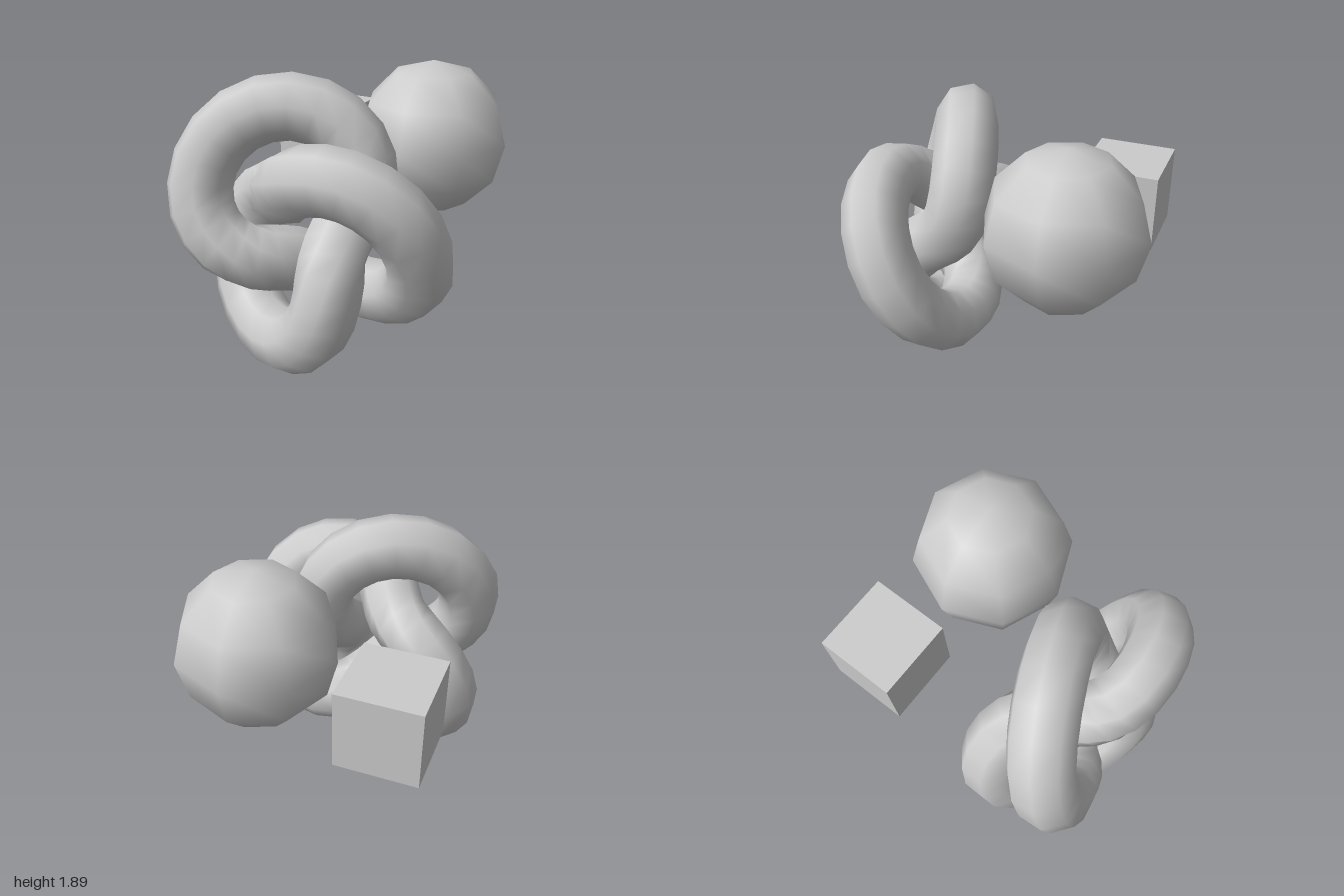
import * as THREE from 'three';

// Three primitives sharing one unit: cube side, sphere radius and knot radius.
const UNIT = 0.525;

export function createModel() {
  const group = new THREE.Group();
  const material = new THREE.MeshStandardMaterial({ color: 0xcccccc });

  const add = (name, geometry, x, y, z) => {
    const mesh = new THREE.Mesh(geometry, material);
    mesh.name = name;
    mesh.position.set(x, y, z);
    group.add(mesh);
  };

  // Trefoil knot with an eight-sided tube, in front
  add('knot', new THREE.TorusKnotGeometry(UNIT, 0.4 * UNIT, 64, 8, 2, 3), -0.087, 0.947, 0.535);

  // Coarse, smooth-shaded ball, behind on the left
  add('ball', new THREE.SphereGeometry(UNIT, 8, 6), 0.33, 1.345, -0.475);

  // Cube, behind on the right
  add('cube', new THREE.BoxGeometry(UNIT, UNIT, UNIT), -0.578, 1.183, -0.618);

  return group;
}
